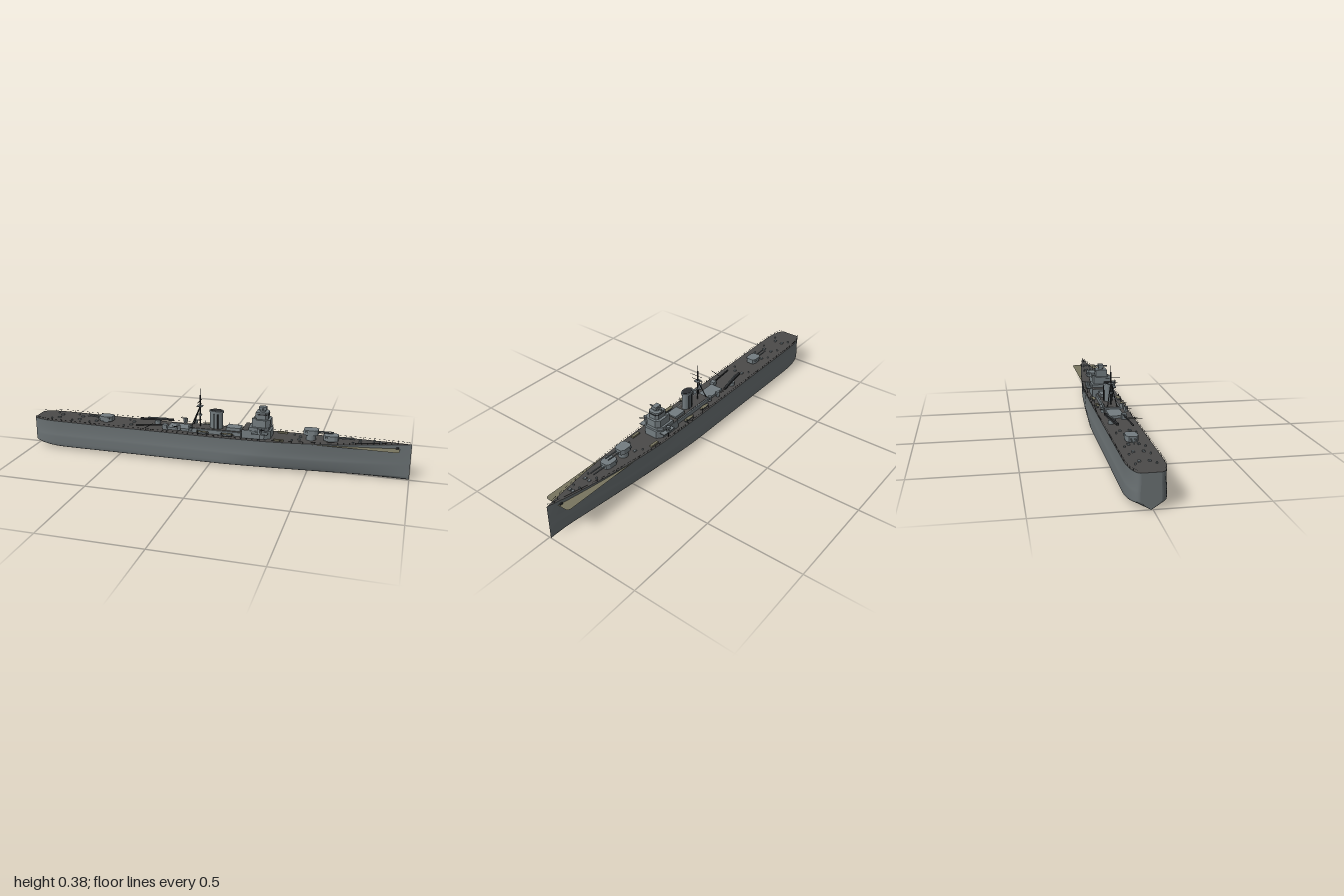
import * as THREE from 'three';

const mat = (name, color, side = THREE.FrontSide) => {
  const m = new THREE.MeshStandardMaterial({ color, side });
  m.name = name;
  return m;
};

export function createModel() {
  const root = new THREE.Group();
  root.name = 'warship';
  const ship = new THREE.Group();
  ship.name = 'ship';
  ship.position.z = -0.008;
  root.add(ship);

  const hullGrey = mat('hullGrey', 0x6a7173, THREE.DoubleSide);
  const deckGrey = mat('deckGrey', 0x4b4a49, THREE.DoubleSide);
  const grey = mat('superstructureGrey', 0x737c80);
  const dark = mat('darkMetal', 0x2c2e30);
  const tan = mat('canvasTan', 0x77745f, THREE.DoubleSide);

  // ---------- helpers ----------
  const add = (name, geo, m, parent = ship) => {
    const mesh = new THREE.Mesh(geo, m);
    mesh.name = name;
    parent.add(mesh);
    return mesh;
  };
  const box = (name, m, x0, x1, y0, y1, z0, z1, parent) => {
    const b = add(name, new THREE.BoxGeometry(x1 - x0, y1 - y0, z1 - z0), m, parent);
    b.position.set((x0 + x1) / 2, (y0 + y1) / 2, (z0 + z1) / 2);
    return b;
  };
  const cyl = (name, m, x, y0, y1, z, r0, r1 = r0, seg = 20, parent) => {
    const c = add(name, new THREE.CylinderGeometry(r1, r0, y1 - y0, seg), m, parent);
    c.position.set(x, (y0 + y1) / 2, z);
    return c;
  };
  const rod = (name, m, a, b, r, parent, seg = 6) => {
    const A = new THREE.Vector3(...a), B = new THREE.Vector3(...b), d = B.clone().sub(A);
    const c = add(name, new THREE.CylinderGeometry(r, r, d.length(), seg), m, parent);
    c.position.copy(A).addScaledVector(d, 0.5);
    c.quaternion.setFromUnitVectors(new THREE.Vector3(0, 1, 0), d.normalize());
    return c;
  };
  // rounded plan outline extruded upward
  const house = (name, m, x0, x1, y0, y1, hw, nose) => {
    const s = new THREE.Shape();
    s.moveTo(x0, -hw); s.lineTo(x1 - nose, -hw); s.lineTo(x1, -hw * 0.6);
    s.lineTo(x1, hw * 0.6); s.lineTo(x1 - nose, hw); s.lineTo(x0, hw);
    const g = new THREE.ExtrudeGeometry(s, { depth: y1 - y0, bevelEnabled: false });
    g.rotateX(-Math.PI / 2);
    g.translate(0, y0, 0);
    return add(name, g, m);
  };

  // ---------- hull ----------
  const deckY = x => 0.153 + 0.004 * Math.max(0, -x) ** 2 + (x > 0 ? 0.031 * x ** 1.8 : 0);
  const taper = (x, start, p) => (x > start ? 1 - ((x - start) / (1 - start)) ** p : 1);
  const stern = x => {
    const u = Math.max(0, (-0.85 - x) / 0.15);
    return 0.5 + 0.5 * Math.sqrt(Math.max(0, 1 - u * u));
  };
  const deckW = x => 0.084 * taper(x, 0.25, 1.8) * stern(x);
  const section = x => {
    const d = deckY(x), w = deckW(x), s = stern(x);
    const mid = 0.087 * taper(x, 0.18, 1.6) * s, low = 0.086 * taper(x, 0.05, 1.3) * s;
    const lift = 0.012 + 0.02 * Math.max(0, (-0.8 - x) / 0.2) ** 2;
    return [[w, d], [Math.min(w, mid) * 0.98, 0.11], [mid * 0.99, 0.08], [mid, 0.068],
      [(mid + low) / 2, 0.035], [low, lift + 0.004], [low * 0.95, lift], [low * 0.5, lift * 0.45], [0, 0]];
  };
  const stations = [];
  for (let i = 0; i <= 12; i++) stations.push(-0.85 - 0.15 * Math.sin((1 - i / 12) * Math.PI / 2));
  for (let i = 1; i <= 44; i++) stations.push(-0.85 + 1.85 * i / 44);
  const loft = rings => {
    const n = rings[0].length, pos = rings.flat(2), idx = [];
    for (let i = 0; i < rings.length - 1; i++) {
      for (let j = 0; j < n - 1; j++) {
        const a = i * n + j, b = a + n;
        idx.push(a, a + 1, b, b, a + 1, b + 1);
      }
    }
    const g = new THREE.BufferGeometry();
    g.setAttribute('position', new THREE.Float32BufferAttribute(pos, 3));
    g.setIndex(idx);
    g.computeVertexNormals();
    return g;
  };
  const ring = x => {
    const p = section(x);
    const port = p.map(([z, y]) => [x, y, z]);
    const starboard = p.slice(0, -1).reverse().map(([z, y]) => [x, y, -z]);
    return [...port, ...starboard];
  };
  add('hull', loft(stations.map(ring)), hullGrey);
  add('transom', loft([section(-1).map(([z, y]) => [-1, y, -z]), section(-1).map(([z, y]) => [-1, y, z])]), hullGrey);
  add('deck', loft(stations.map(x => [[x, deckY(x), -deckW(x)], [x, deckY(x), deckW(x)]])), deckGrey);

  // thin forward platform showing outside the bow
  const plate = new THREE.Shape();
  plate.moveTo(0.5, -0.071); plate.lineTo(0.925, -0.071);
  plate.quadraticCurveTo(0.945, -0.071, 0.945, -0.05); plate.lineTo(0.945, 0.05);
  plate.quadraticCurveTo(0.945, 0.071, 0.925, 0.071); plate.lineTo(0.5, 0.071);
  add('bowPlatform', new THREE.ShapeGeometry(plate).rotateX(-Math.PI / 2), tan).position.y = 0.16;

  // ---------- railings ----------
  for (const s of [1, -1]) {
    const pts = [];
    for (let i = 0; i <= 70; i++) {
      const x = -0.995 + 1.985 * i / 70;
      pts.push(new THREE.Vector3(x, deckY(x) + 0.01, s * deckW(x) * 0.985));
      rod('railPost', dark, [x, deckY(x), s * deckW(x) * 0.985], [x, deckY(x) + 0.01, s * deckW(x) * 0.985], 0.0006, ship, 4);
    }
    add('railing', new THREE.TubeGeometry(new THREE.CatmullRomCurve3(pts), 140, 0.0005, 4), dark);
    box('hawsePipe', dark, 0.925, 0.94, 0.158, 0.168, s * 0.017 - 0.003, s * 0.017 + 0.003);
  }
  rod('jackStaff', dark, [0.935, 0.175, 0], [0.935, 0.198, 0], 0.001);

  // ---------- main turrets ----------
  const turret = (x, y, dir, base) => {
    const g = new THREE.Group();
    g.name = 'turret';
    const s = new THREE.Shape();
    [[-0.036, -0.019], [-0.02, -0.028], [0.02, -0.028], [0.036, -0.018], [0.036, 0.018], [0.02, 0.028], [-0.02, 0.028], [-0.036, 0.019]]
      .forEach(([a, b], i) => (i ? s.lineTo(a, b) : s.moveTo(a, b)));
    add('gunHouse', new THREE.ExtrudeGeometry(s, { depth: 0.026, bevelEnabled: false }).rotateX(-Math.PI / 2), grey, g);
    cyl('barbette', grey, 0, base - y, 0.001, 0, 0.025, 0.025, 24, g);
    for (const z of [-0.009, 0.009]) rod('gunBarrel', grey, [0.03, 0.014, z], [0.11, 0.016, z], 0.0028, g, 8);
    box('rangefinder', grey, -0.026, -0.016, 0.016, 0.023, -0.033, 0.033, g);
    g.position.set(x, y, 0);
    g.rotation.y = dir > 0 ? 0 : Math.PI;
    ship.add(g);
  };
  turret(0.51, 0.19, 1, 0.15);
  turret(0.61, 0.169, 1, 0.15);
  turret(-0.595, 0.16, -1, 0.15);

  // ---------- bridge ----------
  house('bridgeBase', grey, 0.165, 0.31, 0.15, 0.197, 0.058, 0.03);
  house('bridgeWings', grey, 0.2, 0.3, 0.197, 0.214, 0.055, 0.02);
  house('bridgeMiddle', grey, 0.215, 0.305, 0.214, 0.252, 0.044, 0.02);
  house('bridgeUpper', grey, 0.23, 0.293, 0.252, 0.288, 0.03, 0.012);
  house('bridgeWindows', dark, 0.24, 0.2945, 0.274, 0.28, 0.0305, 0.012);
  cyl('directorBase', grey, 0.262, 0.288, 0.3, 0, 0.014);
  box('director', grey, 0.243, 0.281, 0.297, 0.313, -0.013, 0.013);
  rod('directorRangefinder', grey, [0.265, 0.304, -0.036], [0.265, 0.304, 0.036], 0.004, ship, 10);
  box('bridgeDeck', deckGrey, 0.165, 0.2, 0.197, 0.199, -0.056, 0.056);
  for (const s of [1, -1]) {
    box('signalLocker', grey, 0.215, 0.235, 0.252, 0.26, s * 0.038 - 0.006, s * 0.038 + 0.006);
    box('wingPlatform', grey, 0.22, 0.3, 0.187, 0.192, s * 0.066 - 0.014, s * 0.066 + 0.014);
    rod('platformPost', dark, [0.26, 0.155, s * 0.072], [0.26, 0.188, s * 0.072], 0.002);
    box('wingBoat', tan, 0.33, 0.38, 0.158, 0.166, s * 0.06 - 0.007, s * 0.06 + 0.007);
  }

  // ---------- anti-aircraft mounts ----------
  const mount = (x, y, z, dir) => {
    const g = new THREE.Group();
    g.name = 'antiAircraftMount';
    cyl('pedestal', grey, 0, 0, 0.012, 0, 0.01, 0.008, 12, g);
    box('shield', grey, -0.008, 0.008, 0.008, 0.026, -0.009, 0.009, g);
    for (const a of [-0.004, 0.004]) rod('barrel', dark, [0.006, 0.018, a], [0.034, 0.024, a], 0.0012, g);
    g.position.set(x, y, z);
    g.rotation.y = dir;
    ship.add(g);
  };
  for (const s of [1, -1]) {
    mount(0.26, 0.192, s * 0.072, s * -0.5);
    mount(-0.17, 0.165, s * 0.058, Math.PI + s * 0.6);
    mount(-0.11, 0.165, s * 0.05, s * -0.8);
  }

  // ---------- amidships deckhouse, boats and funnel ----------
  house('midshipDeckhouse', grey, -0.12, 0.165, 0.15, 0.174, 0.042, 0.01);
  box('midshipRoof', deckGrey, -0.115, 0.155, 0.174, 0.176, -0.035, 0.035);
  box('searchlightHouse', grey, 0.075, 0.15, 0.176, 0.192, -0.028, 0.028);
  box('aftDeckhouse', grey, -0.24, -0.12, 0.15, 0.166, -0.036, 0.036);
  for (const s of [1, -1]) {
    for (const x of [-0.04, 0.09]) {
      const boat = add('boat', new THREE.SphereGeometry(1, 16, 8, 0, Math.PI * 2, Math.PI / 2, Math.PI / 2), grey);
      boat.scale.set(0.035, 0.013, 0.01);
      boat.position.set(x, 0.17, s * 0.066);
      const cover = add('boatCover', new THREE.CircleGeometry(1, 16).rotateX(-Math.PI / 2), tan);
      cover.scale.set(0.035, 1, 0.01);
      cover.position.set(x, 0.171, s * 0.066);
      for (const d of [-0.025, 0.025]) rod('davit', dark, [x + d, 0.15, s * 0.078], [x + d, 0.182, s * 0.074], 0.0012);
    }
  }
  const funnel = new THREE.Group();
  funnel.name = 'funnel';
  cyl('funnelBody', grey, 0, 0.17, 0.262, 0, 0.034, 0.034, 32, funnel);
  cyl('funnelCap', grey, 0, 0.26, 0.27, 0, 0.038, 0.038, 32, funnel);
  cyl('funnelMouth', dark, 0, 0.27, 0.2715, 0, 0.032, 0.032, 32, funnel);
  for (const s of [1, -1]) for (const x of [-0.008, 0.012]) cyl('steamPipe', dark, x, 0.172, 0.255, s * 0.034, 0.003, 0.003, 8, funnel);
  funnel.position.x = 0.018;
  funnel.scale.z = 0.65;
  ship.add(funnel);

  // ---------- tripod mast ----------
  rod('mainMast', dark, [-0.07, 0.155, 0], [-0.07, 0.345, 0], 0.0032, ship, 10);
  rod('topAntenna', dark, [-0.07, 0.345, 0], [-0.07, 0.38, 0], 0.0007);
  for (const s of [1, -1]) rod('mastLeg', dark, [-0.118, 0.16, s * 0.028], [-0.072, 0.28, s * 0.002], 0.0025, ship, 8);
  rod('mastYard', dark, [-0.07, 0.315, -0.028], [-0.07, 0.315, 0.046], 0.0011);
  rod('lowerYard', dark, [-0.07, 0.292, -0.03], [-0.07, 0.292, 0.035], 0.0013);
  box('mastPlatform', grey, -0.086, -0.056, 0.284, 0.288, -0.014, 0.014);
  cyl('mastLookout', grey, -0.07, 0.235, 0.242, 0, 0.01);

  // ---------- catapult, crane and torpedo gear ----------
  cyl('catapultBase', grey, -0.32, 0.153, 0.172, -0.042, 0.016);
  const catapult = box('catapult', dark, -0.09, 0.09, -0.005, 0.005, -0.006, 0.006);
  catapult.position.set(-0.323, 0.176, -0.042);
  catapult.rotation.y = 0.16;
  box('craneHouse', grey, -0.265, -0.24, 0.15, 0.18, 0.02, 0.045);
  rod('craneJib', dark, [-0.25, 0.174, 0.03], [-0.41, 0.166, 0.048], 0.004, ship, 6);
  rod('craneBoom', dark, [-0.32, 0.177, 0.04], [-0.338, 0.177, 0.106], 0.002);
  rod('aircraftBoom', grey, [-0.37, 0.186, -0.03], [-0.27, 0.182, -0.05], 0.0035);

  // ---------- deck fittings ----------
  for (const x of [-0.9, -0.78, -0.68, -0.48, 0.42, 0.72, 0.82]) {
    for (const s of [1, -1]) {
      const z = s * deckW(x) * 0.55;
      cyl('ventilator', grey, x, deckY(x) - 0.001, deckY(x) + 0.008, z, 0.004, 0.004, 10);
      box('hatch', grey, x + 0.025, x + 0.04, deckY(x) - 0.001, deckY(x) + 0.006, z * 0.5 - 0.006, z * 0.5 + 0.006);
    }
  }
  return root;
}
